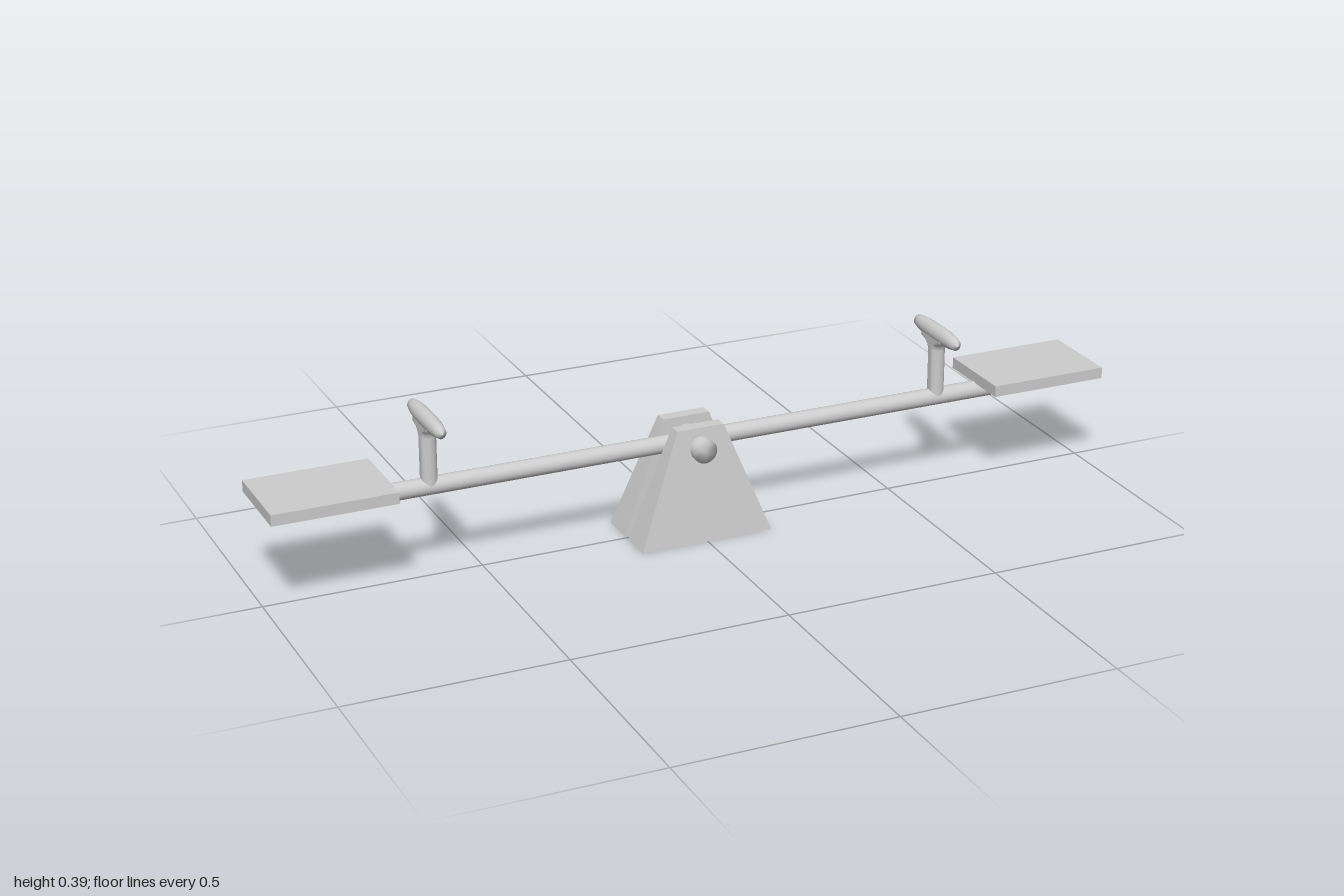
import * as THREE from 'three';
import { mergeVertices } from 'three/addons/utils/BufferGeometryUtils.js';

const grey = new THREE.MeshStandardMaterial({ color: 0xcccccc });
grey.name = 'plain grey';

function add(parent, name, geometry, x = 0, y = 0, z = 0) {
  const mesh = new THREE.Mesh(geometry, grey);
  mesh.name = name;
  mesh.position.set(x, y, z);
  parent.add(mesh);
  return mesh;
}

// Rod with normals blended over its ends
function rod(radius, length) {
  const g = new THREE.CylinderGeometry(radius, radius, length, 32);
  g.deleteAttribute('uv');
  g.deleteAttribute('normal');
  const merged = mergeVertices(g, 1e-5);
  merged.computeVertexNormals();
  return merged;
}

// Wedge-shaped support plate, narrowing toward the top
function supportGeometry(side) {
  const g = new THREE.BoxGeometry(1, 1, 1);
  const p = g.attributes.position;
  for (let i = 0; i < p.count; i++) {
    const top = p.getY(i) > 0;
    const outer = p.getZ(i) * side > 0;
    const z = top ? (outer ? 0.053 : 0.024) : (outer ? 0.091 : 0.009);
    p.setXYZ(i, Math.sign(p.getX(i)) * (top ? 0.056 : 0.157), top ? 0.259 : 0, side * z);
  }
  g.computeVertexNormals();
  return g;
}

const profile = (points) => points.map(([r, y]) => new THREE.Vector2(r, y));

// Post whose top flares along z only
function postGeometry() {
  const g = new THREE.LatheGeometry(profile([
    [0.019, 0.215], [0.019, 0.328], [0.021, 0.338], [0.027, 0.345], [0.045, 0.351], [0.045, 0.36],
  ]), 32);
  const p = g.attributes.position;
  for (let i = 0; i < p.count; i++) {
    p.setX(i, THREE.MathUtils.clamp(p.getX(i), -0.0175, 0.0175));
  }
  g.computeVertexNormals();
  return g;
}

// Grip bar tapering to blunt points
function gripGeometry() {
  const g = new THREE.LatheGeometry(profile([
    [0, -0.1], [0.013, -0.09], [0.017, -0.07], [0.0195, -0.045], [0.02, 0],
    [0.0195, 0.045], [0.017, 0.07], [0.013, 0.09], [0, 0.1],
  ]), 24);
  return g.rotateX(Math.PI / 2).scale(0.88, 1, 1);
}

export function createModel() {
  const model = new THREE.Group();
  model.name = 'seesaw';

  // Beam and pivot
  add(model, 'beam', rod(0.02, 1.71), 0, 0.211, 0).rotation.z = Math.PI / 2;
  add(model, 'pivotAxle', rod(0.028, 0.16), 0, 0.212, 0).rotation.x = Math.PI / 2;
  for (const side of [-1, 1]) {
    add(model, side > 0 ? 'frontSupport' : 'backSupport', supportGeometry(side));
  }

  // Seat and handle at each end
  for (const side of [-1, 1]) {
    const end = new THREE.Group();
    end.name = side > 0 ? 'leftEnd' : 'rightEnd';
    add(end, 'seat', new THREE.BoxGeometry(0.282, 0.026, 0.2), side * 0.859, 0.241, 0);
    add(end, 'handlePost', postGeometry(), side * 0.617, 0, 0);
    add(end, 'handleGrip', gripGeometry(), side * 0.617, 0.367, 0);
    model.add(end);
  }
  return model;
}
